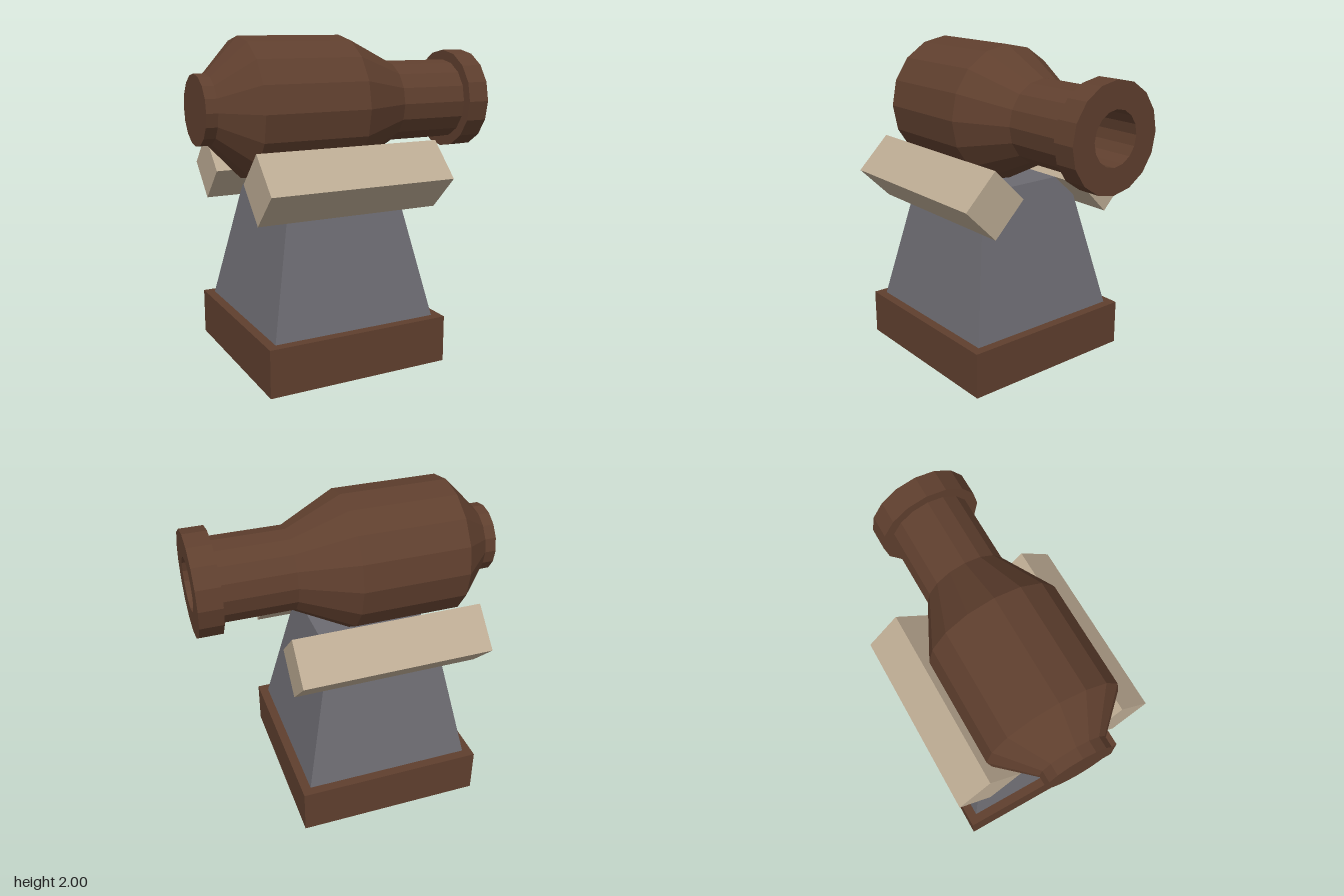
import * as THREE from 'three';

const material = (color) => new THREE.MeshStandardMaterial({ color, flatShading: true });

export function createModel() {
  const model = new THREE.Group();
  model.name = 'mountedCannon';
  const wood = material(0x5f3f2e);
  const stone = material(0x6c6b71);
  const paleWood = material(0xbcab93);

  const add = (name, geometry, mat, x, y, z) => {
    const mesh = new THREE.Mesh(geometry, mat);
    mesh.name = name;
    mesh.position.set(x, y, z);
    model.add(mesh);
    return mesh;
  };

  const centreX = -0.143;
  const length = 1.165;

  // Square plinth
  add('base', new THREE.BoxGeometry(length, 0.29, length), wood, centreX, 0.145, 0);

  // Tapered four-sided pedestal
  const pedestal = new THREE.CylinderGeometry(0.34 * Math.SQRT2, 0.525 * Math.SQRT2, 0.88, 4);
  pedestal.rotateY(Math.PI / 4);
  add('pedestal', pedestal, stone, centreX, 0.73, 0);

  // Two square rails turned onto their edges
  for (const [name, side] of [['leftRail', -1], ['rightRail', 1]]) {
    const rail = add(name, new THREE.BoxGeometry(length, 0.29, 0.29), paleWood, centreX, 1.17, side * 0.438);
    rail.rotation.x = Math.PI / 4;
  }

  // Barrel turned from one profile [radius, x], breech to muzzle and into the bore
  const profile = [
    [0, -0.925], [0.21, -0.925], [0.21, -0.855], [0.42, -0.655], [0.42, 0.005],
    [0.255, 0.337], [0.255, 0.78], [0.318, 0.78], [0.318, 0.923],
    [0.16, 0.923], [0.16, 0.4], [0, 0.4],
  ].map(([r, x]) => new THREE.Vector2(r, x));
  const barrel = new THREE.LatheGeometry(profile, 16);
  barrel.rotateZ(-Math.PI / 2);
  add('barrel', barrel, wood, 0, 1.58, 0);

  return model;
}
